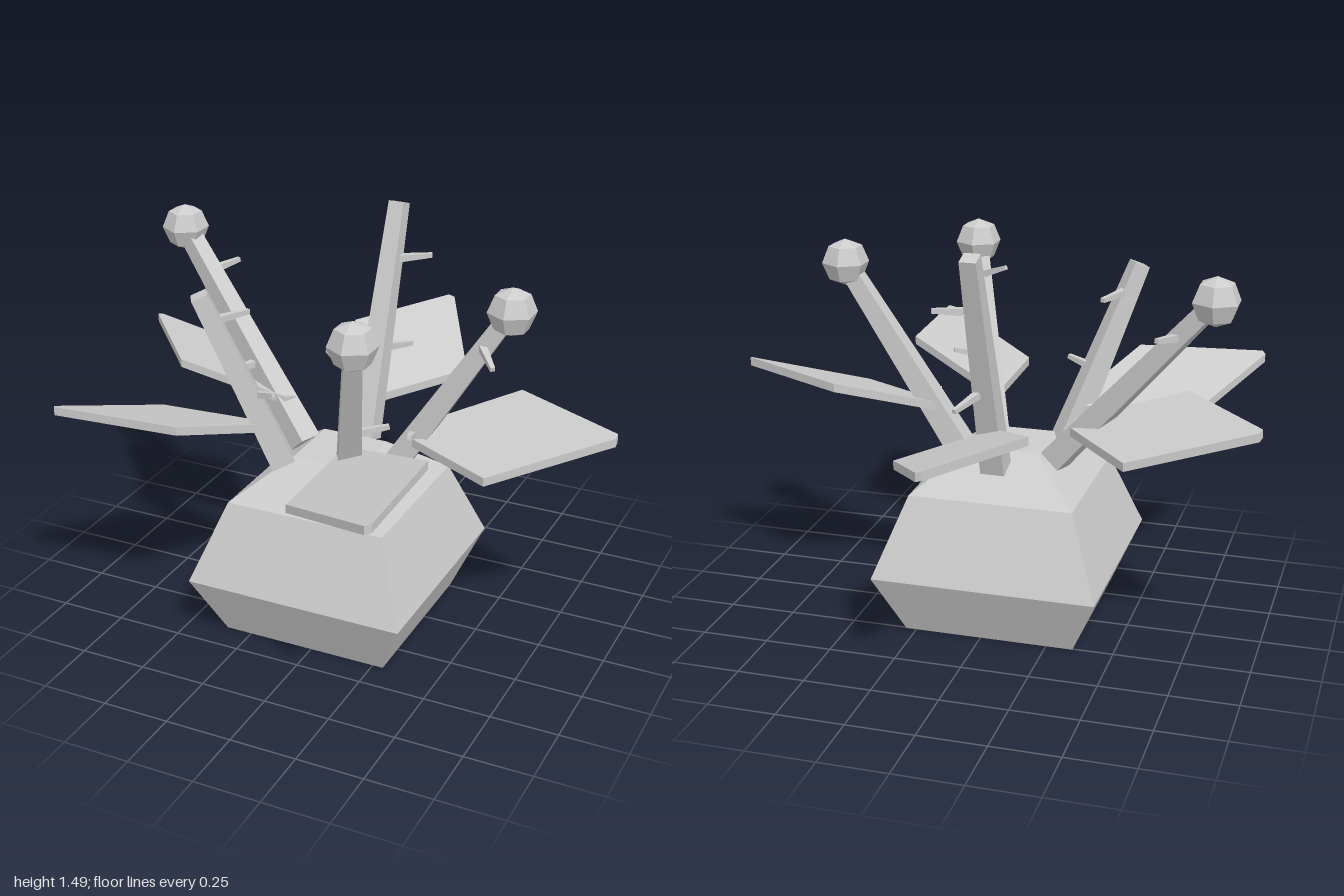
import * as THREE from 'three';

const V = (p) => new THREE.Vector3(...p);

export function createModel() {
  const group = new THREE.Group();
  const grey = new THREE.MeshStandardMaterial({ color: 0xcccccc, flatShading: true });
  grey.name = 'light grey';

  const add = (name, geometry) => {
    const mesh = new THREE.Mesh(geometry, grey);
    mesh.name = name;
    group.add(mesh);
    return mesh;
  };

  // Tapered square bar between two points, with one pair of sides kept level
  const bar = (name, from, to, halfFrom, halfTo) => {
    const a = V(from), b = V(to);
    const up = b.clone().sub(a);
    const length = up.length();
    up.normalize();
    const side = new THREE.Vector3(0, 1, 0).cross(up).normalize();
    const out = side.clone().cross(up);
    const geometry = new THREE.CylinderGeometry(halfTo * Math.SQRT2, halfFrom * Math.SQRT2, length, 4);
    geometry.rotateY(Math.PI / 4);
    const mesh = add(name, geometry);
    mesh.quaternion.setFromRotationMatrix(new THREE.Matrix4().makeBasis(side, up, out));
    mesh.position.copy(a).add(b).multiplyScalar(0.5);
  };

  // Faceted square bulb: half width and height of each level
  const levels = [[0, 0], [0.32, 0], [0.42, 0.23], [0.307, 0.53], [0.128, 0.675], [0, 0.675]];
  const profile = levels.map(([half, y]) => new THREE.Vector2(half * Math.SQRT2, y));
  add('bulb', new THREE.LatheGeometry(profile, 4, Math.PI / 4)).position.set(-0.03, 0, 0.065);

  // Stems, each with two thorns and some with a bud
  const stems = [
    { base: [0.17, 0.635, 0.055], tip: [0.605, 1.315, 0.04], bud: true,
      thorns: [[[0.5, 1.18, 0.05], [0.59, 1.15, 0.17]], [[0.26, 0.8, 0.06], [0.28, 0.82, 0.15]]] },
    { base: [0.09, 0.635, 0.25], tip: [0.24, 1.31, 0.53], bud: true,
      thorns: [[[0.21, 1.19, 0.47], [0.1, 1.235, 0.43]], [[0.15, 0.9, 0.36], [0.27, 0.93, 0.3]]] },
    { base: [-0.21, 0.635, 0], tip: [-0.815, 1.335, -0.21], bud: true,
      thorns: [[[-0.69, 1.19, -0.17], [-0.63, 1.205, -0.29]], [[-0.43, 0.9, -0.07], [-0.49, 0.9, 0.07]]] },
    { base: [-0.025, 0.635, -0.14], tip: [-0.02, 1.48, -0.425], bud: false,
      thorns: [[[0, 1.28, -0.37], [0.115, 1.29, -0.43]], [[-0.01, 0.96, -0.26], [0.045, 0.93, -0.41]]] },
    { base: [-0.2, 0.635, 0.19], tip: [-0.44, 1.31, 0.345], bud: false,
      thorns: [[[-0.4, 1.21, 0.31], [-0.34, 1.205, 0.17]], [[-0.3, 0.92, 0.25], [-0.19, 0.95, 0.28]]] },
  ];
  stems.forEach(({ base, tip, bud, thorns }) => {
    bar('stem', base, tip, 0.045, 0.03);
    thorns.forEach(([from, to]) => bar('thorn', from, to, 0.014, 0.008));
    if (bud) {
      const geometry = new THREE.SphereGeometry(0.088, 6, 4);
      geometry.rotateY(Math.PI / 2);
      add('bud', geometry).position.copy(V(tip));
    }
  });

  // Diamond leaf plate, pointing along +x and sloped up to its tip and one side
  const outline = [[0.27, 0.03], [0.63, 0.235], [1.025, 0.012], [1.025, -0.012], [0.61, -0.24], [0.27, -0.03]];
  const shape = new THREE.Shape(outline.map(([x, y]) => new THREE.Vector2(x, y)));
  const leaf = new THREE.ExtrudeGeometry(shape, { depth: 0.032, bevelEnabled: false });
  leaf.rotateX(Math.PI / 2);
  const pos = leaf.attributes.position;
  for (let i = 0; i < pos.count; i++) {
    pos.setY(i, pos.getY(i) + 0.79 + 0.16 * (pos.getX(i) - 0.22) - 0.28 * pos.getZ(i));
  }
  leaf.computeVertexNormals();

  // Leaves set around the bulb
  [-2.2, 59.7, 145.9, 199.6, 270.8].forEach((degrees) => {
    const mesh = add('leaf', leaf);
    mesh.rotation.y = -THREE.MathUtils.degToRad(degrees);
    mesh.position.set(-0.03, 0, 0.06);
  });

  return group;
}
